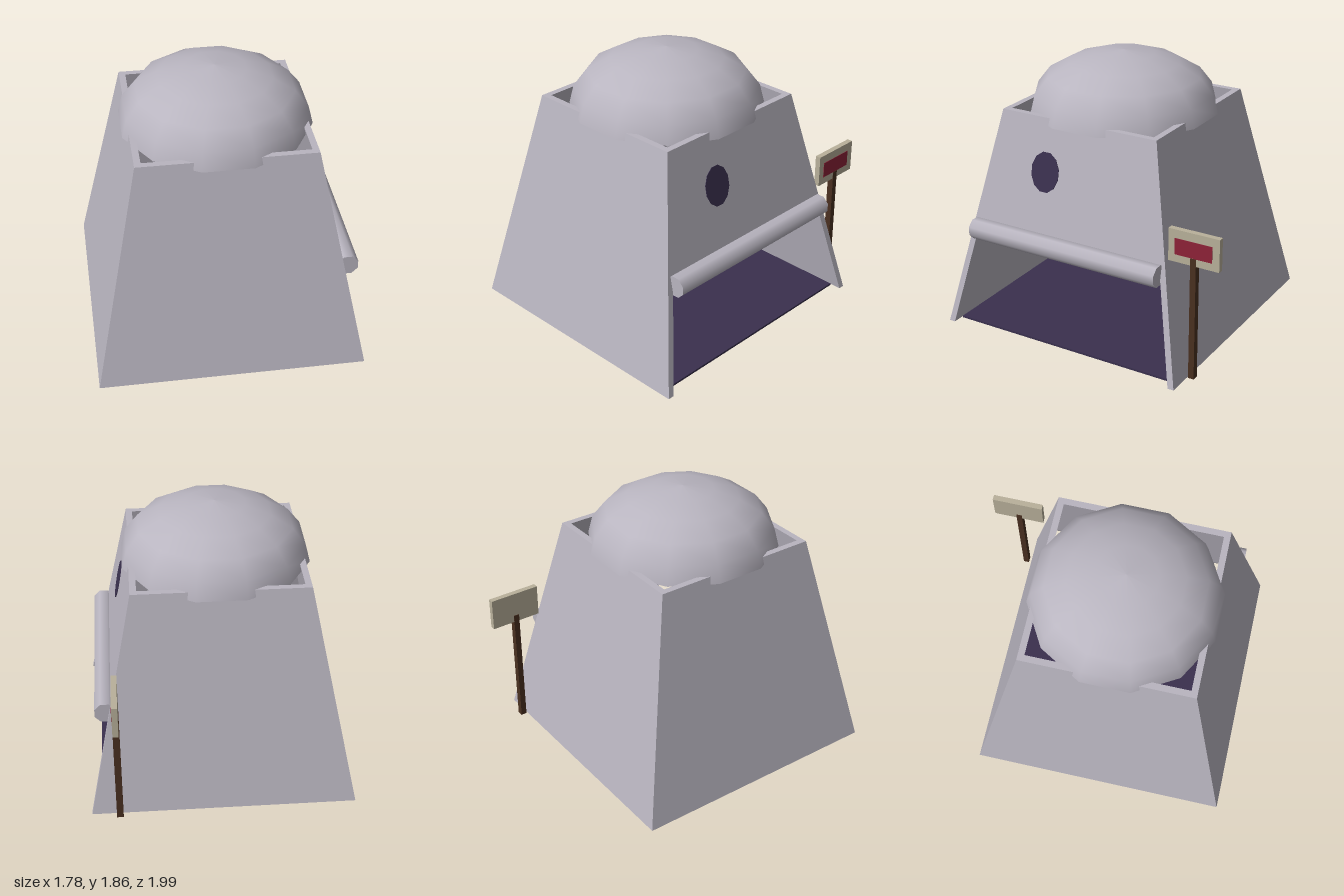
import * as THREE from 'three';

const mat = (name, color, side = THREE.FrontSide) => {
  const m = new THREE.MeshStandardMaterial({ color, side });
  m.name = name;
  return m;
};

export function createModel() {
  const group = new THREE.Group();
  const plaster = mat('pale plaster', 0xb9b5c0, THREE.DoubleSide);
  const dark = mat('dark violet', 0x3a304e);
  const wood = mat('brown wood', 0x4a3020);
  const board = mat('beige board', 0xb9b19b);
  const red = mat('red panel', 0x8e2238);

  const add = (name, geometry, material, x, y, z, parent = group) => {
    const mesh = new THREE.Mesh(geometry, material);
    mesh.name = name;
    mesh.position.set(x, y, z);
    parent.add(mesh);
    return mesh;
  };

  // Hollow tapered hut, open at the top, with a full-width doorway on +x
  const cz = 0.105, top = 1.52, thick = 0.043;
  const half = y => 0.89 - 0.31 * y / top;
  const wall = (name, turn, y0, inset) => {
    const g = new THREE.BoxGeometry(2, 1, 1);
    const p = g.attributes.position;
    for (let i = 0; i < p.count; i++) {
      const y = p.getY(i) > 0 ? top : y0;
      const h = half(y);
      p.setXYZ(i, p.getX(i) * (h - inset), y, p.getZ(i) > 0 ? h : h - thick);
    }
    g.computeVertexNormals();
    add(name, g, plaster, 0, 0, cz).rotation.y = turn;
  };
  wall('frontWall', 0, 0, 0);
  wall('backWall', Math.PI, 0, 0);
  wall('rightWall', -Math.PI / 2, 0, thick);
  wall('wallAboveDoor', Math.PI / 2, 0.7, thick);

  add('floor', new THREE.BoxGeometry(1.65, 0.014, 1.65), dark, 0, 0.015, cz);

  // Twelve-sided dome resting in the open top
  const profile = [[0.642, 1.47], [0.611, 1.592], [0.523, 1.705], [0.379, 1.788], [0.207, 1.844], [0, 1.864]]
    .map(([r, y]) => new THREE.Vector2(r, y));
  add('dome', new THREE.LatheGeometry(profile, 12, Math.PI / 12), plaster, 0, 0, cz);

  // Rolled-up door above the opening
  const roll = new THREE.CylinderGeometry(0.0735, 0.0735, 1.425, 8, 1, false, Math.PI / 8);
  roll.rotateX(Math.PI / 2);
  add('doorRoll', roll, plaster, 0.773, 0.705, 0.107);

  // Oval window lying on the sloping wall
  const pane = add('window', new THREE.CylinderGeometry(1, 1, 0.008, 12, 1, false, Math.PI / 12), dark, half(1.17), 1.17, 0.315);
  pane.scale.set(0.137, 1, 0.107);
  pane.rotation.z = Math.atan(0.31 / top) - Math.PI / 2;

  // Signpost beside the doorway
  const sign = new THREE.Group();
  sign.name = 'signpost';
  sign.position.set(0.704, 0, -0.82);
  group.add(sign);
  add('post', new THREE.BoxGeometry(0.044, 0.85, 0.04), wood, 0, 0.435, 0, sign);
  add('signBoard', new THREE.BoxGeometry(0.038, 0.22, 0.355), board, 0, 0.92, -0.002, sign);
  add('signPanel', new THREE.BoxGeometry(0.006, 0.11, 0.26), red, 0.019, 0.917, 0, sign);

  return group;
}
